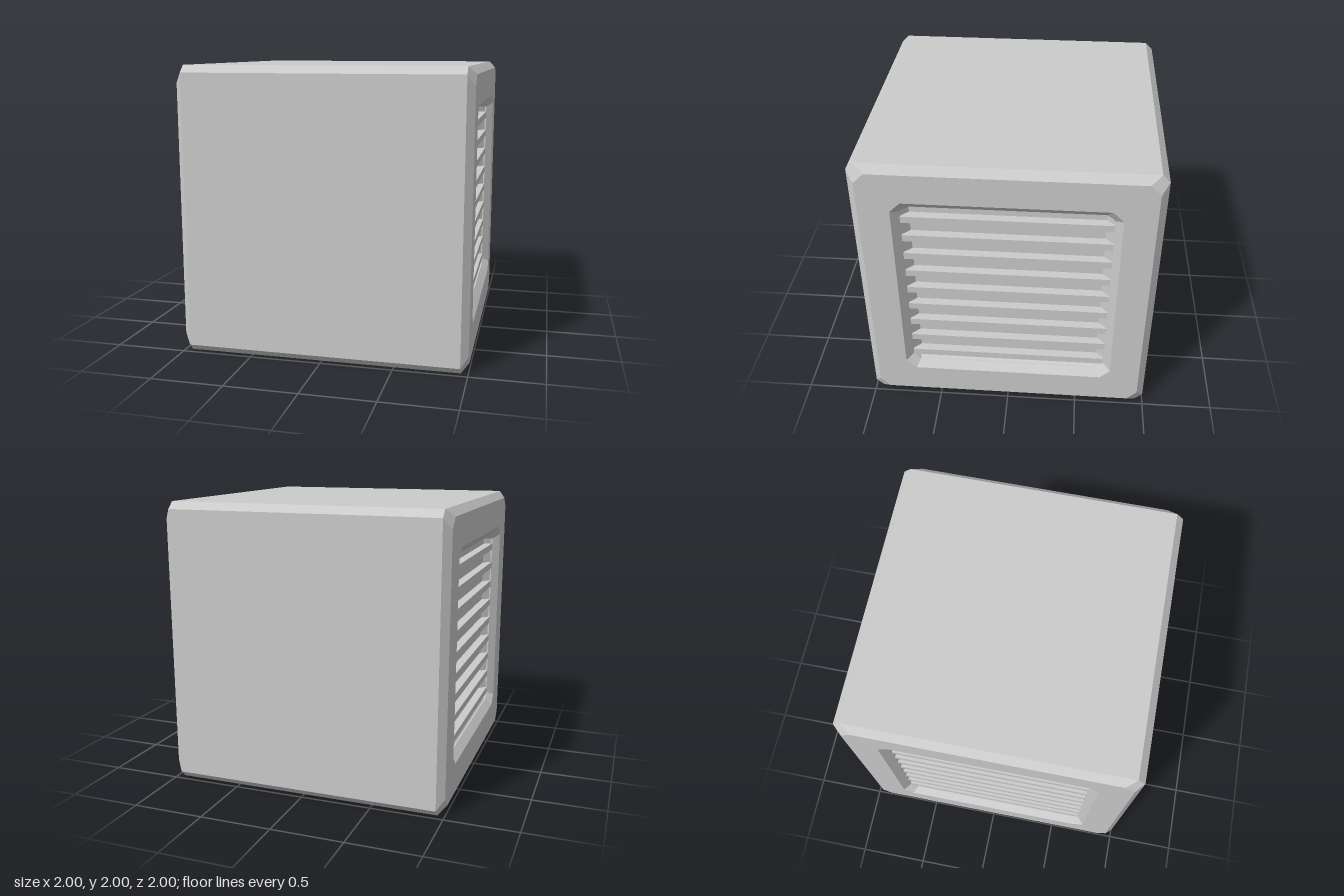
import * as THREE from 'three';

const material = new THREE.MeshStandardMaterial({ color: 0xcccccc, flatShading: true });

// Square with clipped corners in the plane at x: half size h, corner cut c
function ring(x, h, c) {
  const k = h - c;
  return [[h, -k], [h, k], [k, h], [-k, h], [-h, k], [-h, -k], [-k, -h], [k, -h]]
    .map(([y, z]) => new THREE.Vector3(x, y + 1, z));
}

// Flat-shaded skin through successive rings
function skin(rings) {
  const points = [];
  for (let r = 0; r < rings.length - 1; r++) {
    const a = rings[r], b = rings[r + 1];
    for (let i = 0; i < 8; i++) {
      const j = (i + 1) % 8;
      for (const tri of [[a[i], b[i], b[j]], [a[i], b[j], a[j]]]) {
        const area = new THREE.Triangle(...tri).getArea();
        if (area > 1e-8) points.push(...tri);
      }
    }
  }
  const geometry = new THREE.BufferGeometry().setFromPoints(points);
  geometry.computeVertexNormals();
  return geometry;
}

export function createModel() {
  const model = new THREE.Group();
  model.name = 'ventBlock';

  // Profile of one side: recess floor, bevelled recess, face, outer bevel
  const profile = [
    [0.89, 0, 0], [0.89, 0.64, 0], [0.94, 0.69, 0.05], [0.95, 0.69, 0.05],
    [1, 0.74, 0.07], [1, 0.95, 0.07], [0.95, 1, 0.05],
  ];
  const mirrored = profile.map(([x, h, c]) => [-x, h, c]).reverse();
  const body = new THREE.Mesh(skin([...profile, ...mirrored].map((p) => ring(...p))), material);
  body.name = 'body';
  model.add(body);

  // Horizontal slats filling both recesses
  const slatGeometry = new THREE.BoxGeometry(0.065, 0.05, 1.38);
  for (const side of [1, -1]) {
    const vent = new THREE.Group();
    vent.name = side > 0 ? 'leftVent' : 'rightVent';
    for (let i = 0; i < 9; i++) {
      const slat = new THREE.Mesh(slatGeometry, material);
      slat.name = 'slat';
      slat.position.set(side * 0.9175, 0.375 + i * 0.15, 0);
      vent.add(slat);
    }
    model.add(vent);
  }
  return model;
}
